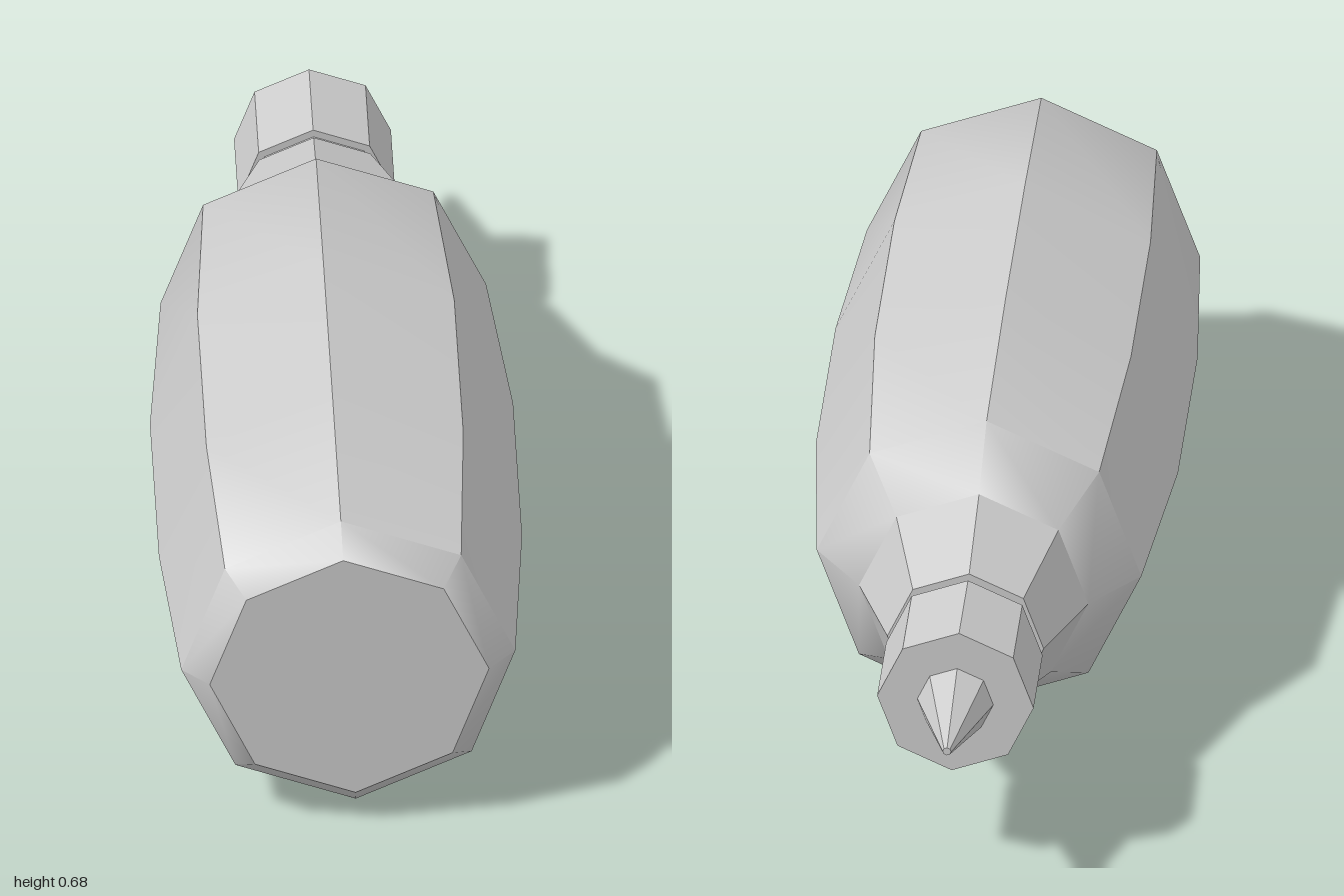
import * as THREE from 'three';
import { toCreasedNormals } from 'three/addons/utils/BufferGeometryUtils.js';

const SIDES = 8;
const TWIST = -0.045; // slight roll of the octagon about its axis
const CREASE = 0.67; // softens chamfer and shoulder, keeps the long edges sharp

export function createModel() {
  const bottle = new THREE.Group();
  bottle.name = 'bottle';
  const material = new THREE.MeshStandardMaterial({ color: 0xcccccc });

  // Eight-sided turned part; profile is [radius, z], running from front to back
  function turned(name, profile) {
    const points = profile.map(([r, z]) => new THREE.Vector2(r, -z));
    const lathe = new THREE.LatheGeometry(points, SIDES, TWIST);
    lathe.rotateX(-Math.PI / 2);
    lathe.deleteAttribute('normal');
    lathe.deleteAttribute('uv');
    const mesh = new THREE.Mesh(toCreasedNormals(lathe, CREASE), material);
    mesh.name = name;
    bottle.add(mesh);
  }

  // Barrel with chamfered base and sloping shoulder
  turned('body', [
    [0, 0.995], [0.26, 0.995], [0.311, 0.94], [0.338, 0.56],
    [0.338, 0.12], [0.303, -0.28], [0.214, -0.4],
  ]);

  // Tapering neck
  turned('neck', [[0.214, -0.4], [0.146, -0.583], [0, -0.583]]);

  // Narrow groove between neck and cap
  turned('collar', [[0.131, -0.58], [0.131, -0.612]]);

  // Nozzle cap
  turned('cap', [[0, -0.608], [0.146, -0.608], [0.146, -0.81], [0, -0.81]]);

  // Pointed nozzle with a tiny blunt end
  turned('nozzle', [[0.071, -0.81], [0.008, -1], [0, -1]]);

  // The bottle lies down with its nozzle slightly raised
  bottle.rotation.x = 0.018;
  bottle.position.y = 0.349;

  const group = new THREE.Group();
  group.add(bottle);
  return group;
}
